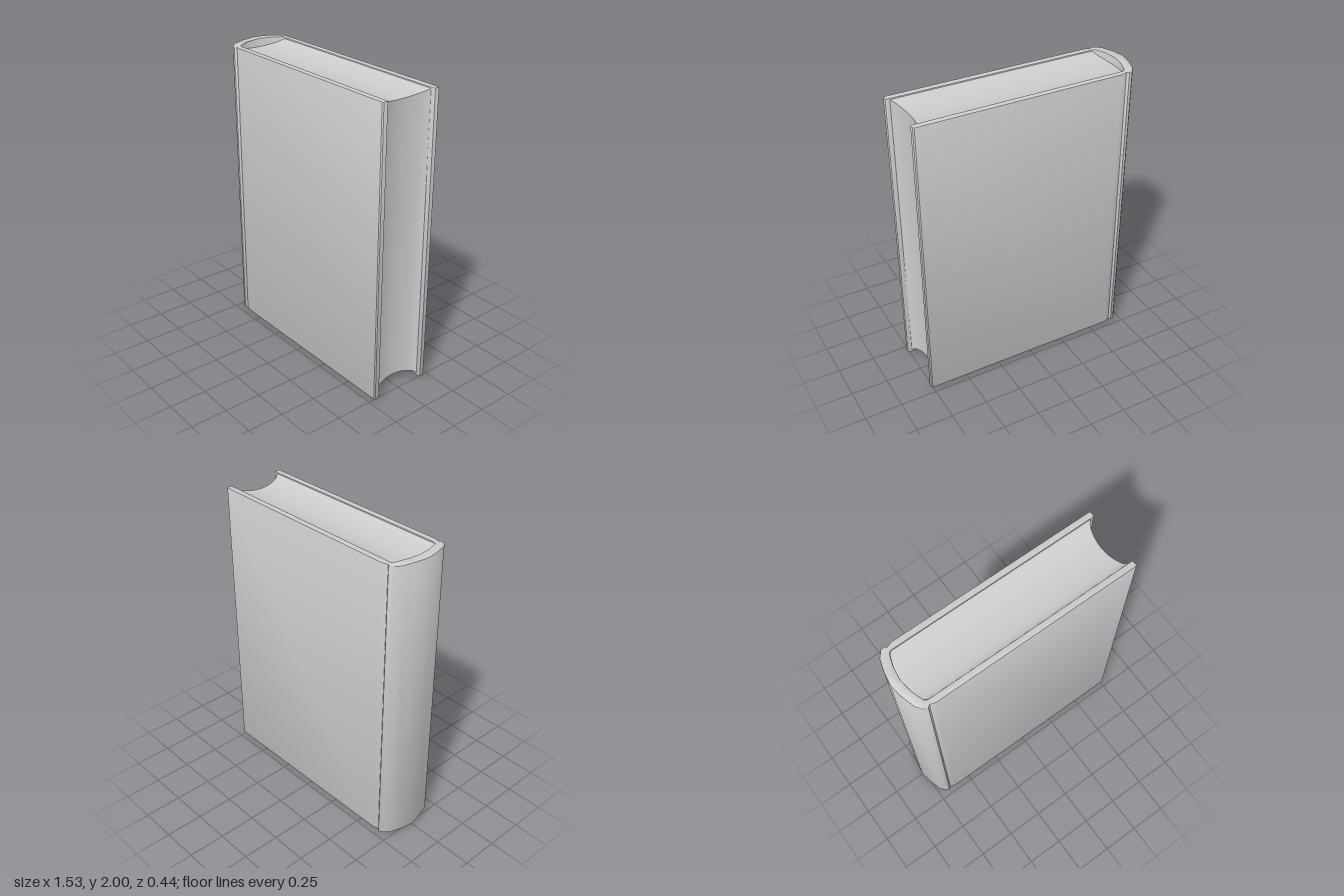
import * as THREE from 'three';
import { toCreasedNormals } from 'three/addons/utils/BufferGeometryUtils.js';

const material = new THREE.MeshStandardMaterial({ color: 0xcccccc });

// Wraparound case: one half of the [x, z] section, mirrored and extruded upward
function coverGeometry() {
  const outer = [[0.765, 0.211], [0.758, 0.218], [-0.62, 0.218], [-0.645, 0.211], [-0.658, 0.206],
    [-0.672, 0.218], [-0.695, 0.213], [-0.73, 0.17], [-0.755, 0.085], [-0.77, 0]];
  const inner = [[-0.706, 0], [-0.695, 0.085], [-0.667, 0.165], [-0.65, 0.176],
    [0.758, 0.176], [0.765, 0.182]];
  const mirror = (points) => points.map(([x, z]) => [x, -z]).reverse();
  const section = [...outer, ...mirror(outer).slice(1), ...mirror(inner), ...inner.slice(1)];
  const shape = new THREE.Shape(section.map(([x, z]) => new THREE.Vector2(x, z)));
  const bevel = 0.005;
  const geometry = new THREE.ExtrudeGeometry(shape, {
    depth: 1.98 - 2 * bevel, bevelEnabled: true, bevelThickness: bevel,
    bevelSize: bevel, bevelOffset: -bevel, bevelSegments: 2,
  });
  geometry.rotateX(-Math.PI / 2).translate(0, 0.01 + bevel, 0);

  // The spine ends swell slightly past the boards
  const p = geometry.attributes.position;
  for (let i = 0; i < p.count; i++) {
    if (p.getX(i) > -0.664) continue;
    const swell = 0.01 * (1 - (p.getZ(i) / 0.22) ** 2);
    p.setY(i, p.getY(i) + (p.getY(i) > 1 ? swell : -swell));
  }
  return toCreasedNormals(geometry, 0.75);
}

// Page block: a box whose trimmed edges are hollowed and whose back is rounded
function pagesGeometry() {
  const geometry = new THREE.BoxGeometry(1, 1, 2, 1, 1, 20);
  const p = geometry.attributes.position;
  for (let i = 0; i < p.count; i++) {
    const t = p.getZ(i);
    const hollow = 0.028 * t * t + 0.01 * t ** 12;
    const x = p.getX(i) > 0 ? 0.687 + 1.4 * hollow : -0.71 + 0.045 * t * t;
    const y = p.getY(i) > 0 ? 1.945 + hollow : 0.065 - hollow;
    p.setXYZ(i, x, y, t * 0.178);
  }
  geometry.computeVertexNormals();
  return geometry;
}

export function createModel() {
  const book = new THREE.Group();
  book.name = 'book';
  const parts = { cover: coverGeometry(), pages: pagesGeometry() };
  for (const [name, geometry] of Object.entries(parts)) {
    const mesh = new THREE.Mesh(geometry, material);
    mesh.name = name;
    book.add(mesh);
  }
  return book;
}
